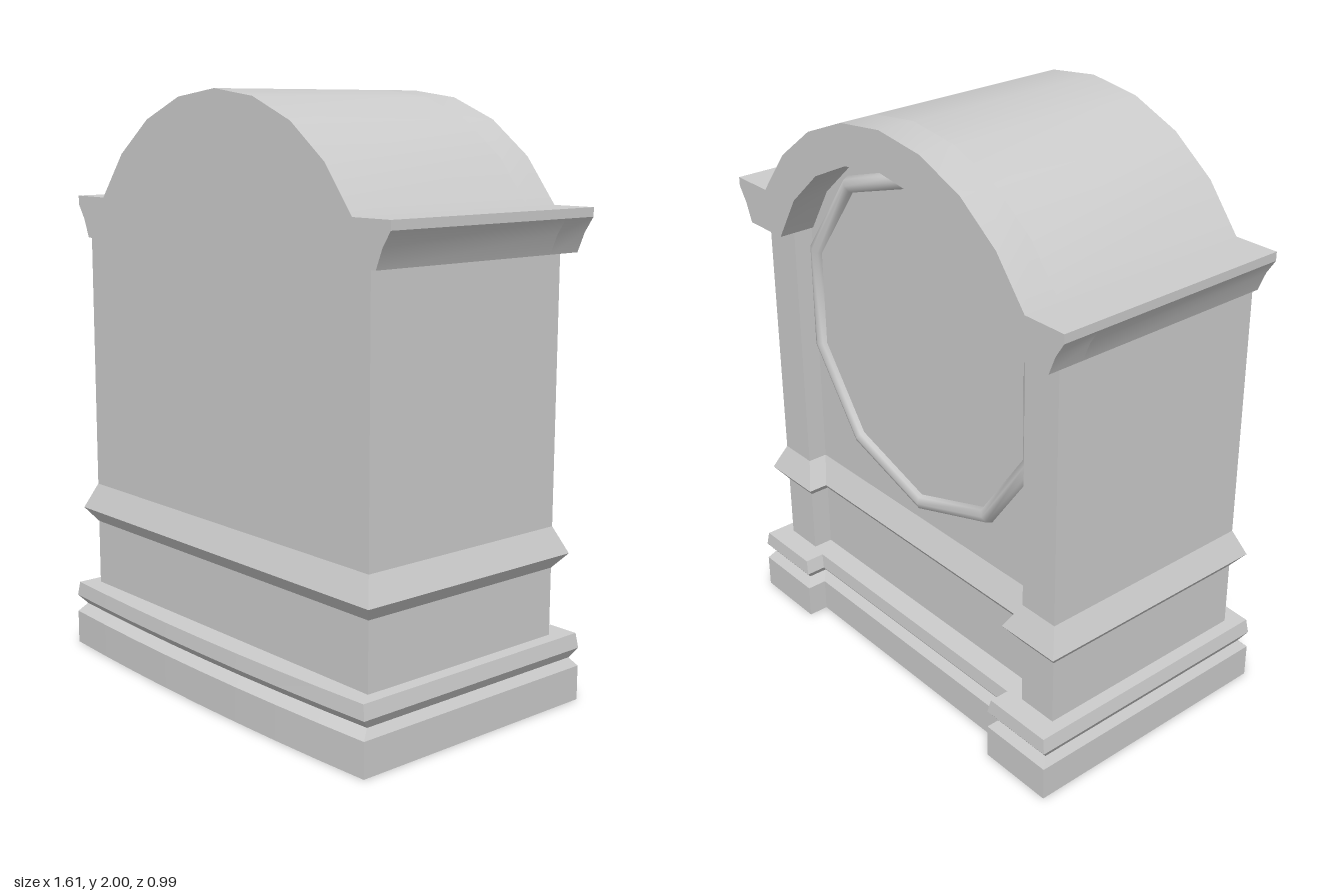
import * as THREE from 'three';
import { toCreasedNormals } from 'three/addons/utils/BufferGeometryUtils.js';

const PANEL_Z = -0.34;   // recessed panel on the dial side
const ARCH_Y = 1.248;    // common centre of arch and dial

// Plan of the case, grown by dx / dz, with two pilasters at the back and an optional bowed front
function plan(dx, dz, frontDz, bow) {
  const x = 0.725 + dx, inner = 0.58 - dx * 1.3;
  const pts = [];
  for (let i = 0; i <= 8; i++) {
    const t = i / 4 - 1;
    pts.push([t * x, 0.40 + frontDz + bow * (1 - t * t)]);
  }
  const back = -0.41 - dz, panel = PANEL_Z - dz;
  pts.push([x, back], [inner, back], [inner, panel], [-inner, panel], [-inner, back], [-x, back]);
  return pts;
}

// Stack of plans [y, dx, dz, frontDz, bow] joined by walls and capped at both ends
function sweep(rows) {
  const pos = [];
  const loops = rows.map(([y, ...p]) => plan(...p).map(([x, z]) => [x, y, z]));
  const n = loops[0].length;
  for (let r = 0; r + 1 < loops.length; r++) {
    for (let i = 0; i < n; i++) {
      const j = (i + 1) % n;
      const a = loops[r][i], b = loops[r][j], c = loops[r + 1][j], d = loops[r + 1][i];
      pos.push(...a, ...b, ...c, ...a, ...c, ...d);
    }
  }
  const cap = (loop, up) => {
    const contour = loop.map(([x, , z]) => new THREE.Vector2(x, -z));
    for (const [a, b, c] of THREE.ShapeUtils.triangulateShape(contour, [])) {
      pos.push(...loop[a], ...loop[up ? b : c], ...loop[up ? c : b]);
    }
  };
  cap(loops[0], false);
  cap(loops[loops.length - 1], true);
  const geo = new THREE.BufferGeometry();
  geo.setAttribute('position', new THREE.Float32BufferAttribute(pos, 3));
  geo.computeVertexNormals();
  return geo;
}

// Points of an arc about the arch centre, running from +x over the top to -x
function arc(radius, halfAngle, segments) {
  const pts = [];
  for (let i = 0; i <= segments; i++) {
    const a = halfAngle * (1 - 2 * i / segments);
    pts.push(new THREE.Vector2(radius * Math.sin(a), ARCH_Y + radius * Math.cos(a)));
  }
  return pts;
}

// Hood outline: arch with moulded shoulders; optionally open underneath
function hoodShape(open) {
  const shoulder = [[0.745, 1.49], [0.772, 1.555], [0.805, 1.605], [0.805, 1.635]];
  const pts = shoulder.map(([x, y]) => new THREE.Vector2(x, y));
  pts.push(...arc(0.752, 1.031, 8));
  pts.push(...shoulder.slice().reverse().map(([x, y]) => new THREE.Vector2(-x, y)));
  if (open) {
    const r = 0.62;
    pts.push(...arc(r, Math.acos((1.49 - ARCH_Y) / r), 8).reverse());
  }
  return new THREE.Shape(pts);
}

function extrude(shape, z0, z1) {
  const geo = new THREE.ExtrudeGeometry(shape, { depth: z1 - z0, bevelEnabled: false });
  geo.translate(0, 0, z0);
  return toCreasedNormals(geo, 0.5);
}

export function createModel() {
  const group = new THREE.Group();
  const stone = new THREE.MeshStandardMaterial({ color: 0xcccccc });
  stone.name = 'lightGrey';
  const add = (name, geo) => {
    const mesh = new THREE.Mesh(geo, stone);
    mesh.name = name;
    group.add(mesh);
    return mesh;
  };

  // Bowed base with a V-shaped groove
  add('base', sweep([
    [0, 0.055, 0.085, 0.065, 0.025],
    [0.118, 0.055, 0.085, 0.065, 0.025],
    [0.147, 0.035, 0.06, 0.035, 0.025],
    [0.18, 0.055, 0.085, 0.065, 0.025],
    [0.23, 0.046, 0.08, 0.06, 0.025],
  ]));

  // Case with pilasters
  add('case', sweep([
    [0.23, 0, 0, 0, 0],
    [1.49, 0, 0, 0, 0],
  ]));

  // Waist moulding
  add('waistMoulding', sweep([
    [0.46, 0, 0, 0, 0],
    [0.51, 0.04, 0.04, 0.037, 0],
    [0.60, 0, 0, 0, 0],
  ]));

  // Arched hood: solid body plus the open arch over the dial
  add('hood', extrude(hoodShape(false), PANEL_Z, 0.40));
  add('hoodArch', extrude(hoodShape(true), -0.47, PANEL_Z));

  // Ten-sided dial and its ring
  const ring = add('dialRing', new THREE.TorusGeometry(0.57, 0.03, 8, 10));
  ring.rotation.z = Math.PI / 2;
  ring.position.set(0, ARCH_Y, PANEL_Z);
  const dial = add('dial', new THREE.CylinderGeometry(0.56, 0.56, 0.008, 10));
  dial.rotation.x = -Math.PI / 2;
  dial.position.set(0, ARCH_Y, PANEL_Z - 0.003);

  return group;
}
